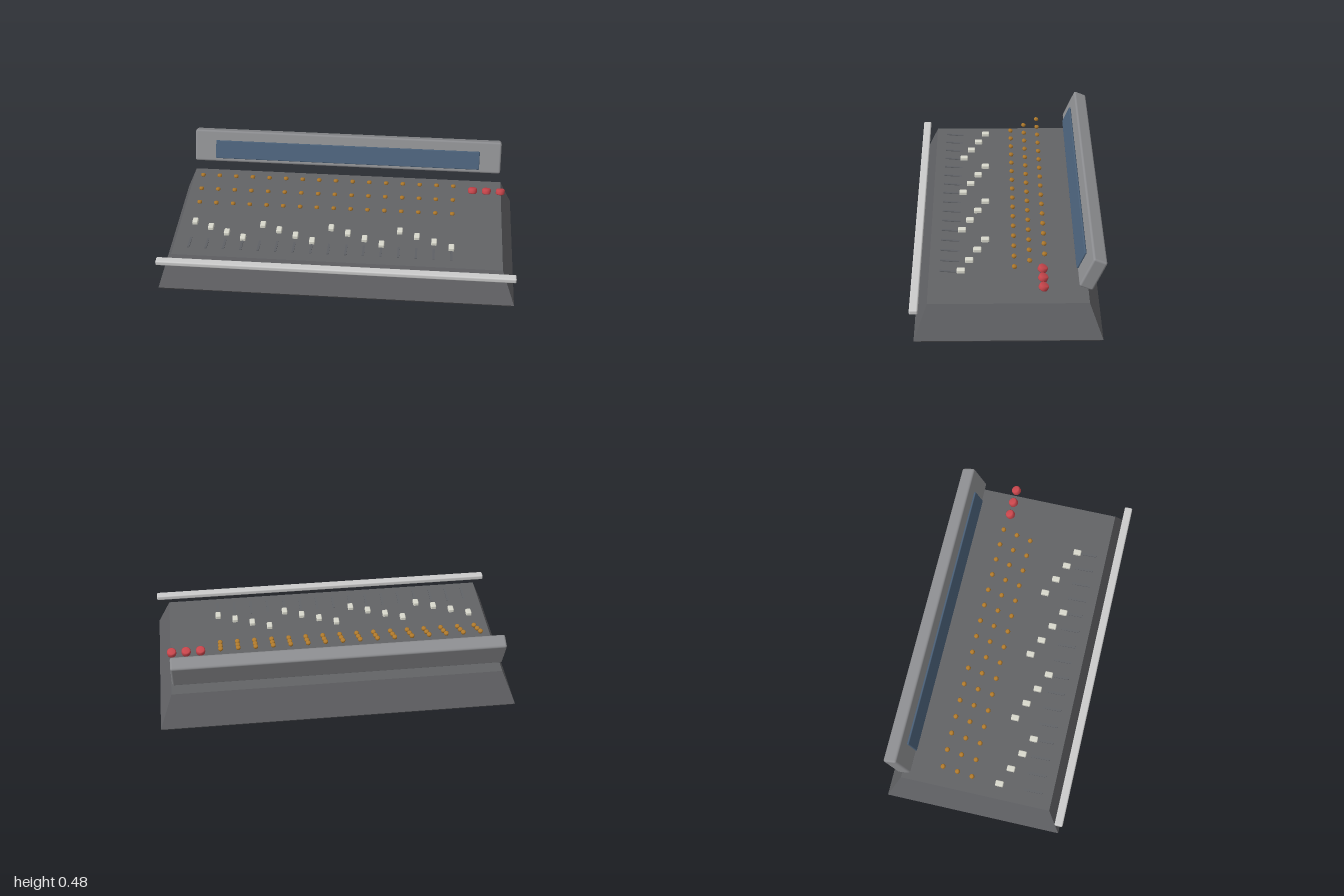
import * as THREE from 'three';
import { RoundedBoxGeometry } from 'three/addons/geometries/RoundedBoxGeometry.js';

const TILT = -0.4;

const paint = (color, flatShading = false) => new THREE.MeshStandardMaterial({ color, flatShading });

export function createModel() {
  const model = new THREE.Group();
  const mats = {
    body: paint(0x626366, true),
    panel: paint(0x8c8d90),
    screen: paint(0x4a6078),
    rail: paint(0xc4c5c8),
    slot: paint(0x606266),
    cap: paint(0xd8d8cc),
    gold: paint(0xb07a2c),
    red: paint(0xc8464c),
  };

  function add(name, geometry, material, x, y, z, tilt = 0, parent = model) {
    const mesh = new THREE.Mesh(geometry, material);
    mesh.name = name;
    mesh.position.set(x, y, z);
    mesh.rotation.x = tilt;
    parent.add(mesh);
    return mesh;
  }

  function addGroup(name) {
    const group = new THREE.Group();
    group.name = name;
    model.add(group);
    return group;
  }

  // Short turned knob with chamfered rims, centred on its own axis
  function knobGeometry(r, h, c) {
    const points = [
      [0, -h / 2], [r - c, -h / 2], [r, -h / 2 + c],
      [r, h / 2 - c], [r - c, h / 2], [0, h / 2],
    ].map(([x, y]) => new THREE.Vector2(x, y));
    return new THREE.LatheGeometry(points, 16);
  }

  // Console body: a box whose three levels are inset to slope the sides
  const levels = [[0, 0.02], [0.022, 0], [0.21, 0.073]]; // height, inset
  const bodyGeometry = new THREE.BoxGeometry(2, 2, 1, 1, 2, 1);
  const p = bodyGeometry.attributes.position;
  for (let i = 0; i < p.count; i++) {
    const [y, inset] = levels[Math.round(p.getY(i)) + 1];
    p.setXYZ(i, Math.sign(p.getX(i)) * (1 - inset), y, Math.sign(p.getZ(i)) * (0.5 - inset));
  }
  bodyGeometry.computeVertexNormals();
  add('consoleBody', bodyGeometry, mats.body, 0, 0, -0.002);

  // Front hand rail
  add('frontRail', new RoundedBoxGeometry(2, 0.029, 0.046, 2, 0.008), mats.rail, 0, 0.209, 0.493);

  // Raised meter housing and its display
  add('meterHousing', new RoundedBoxGeometry(1.835, 0.189, 0.08, 2, 0.012), mats.panel,
    0, 0.3825, -0.4415, TILT);
  add('meterScreen', new RoundedBoxGeometry(1.58, 0.109, 0.012, 2, 0.005), mats.screen,
    0, 0.386, -0.3875, TILT);

  // Sixteen channel strips: three knobs, a slot and a fader cap each
  const knobs = addGroup('channelKnobs');
  const slots = addGroup('faderSlots');
  const caps = addGroup('faderCaps');
  const knob = knobGeometry(0.0135, 0.018, 0.004);
  const slot = new THREE.BoxGeometry(0.012, 0.005, 0.105);
  const cap = new RoundedBoxGeometry(0.032, 0.026, 0.046, 2, 0.006);
  const knobRows = [[0.325, -0.2], [0.283, -0.12], [0.243, -0.038]]; // y, z
  for (let i = 0; i < 16; i++) {
    const x = -0.84 + i * 0.0987;
    knobRows.forEach(([y, z]) => add('channelKnob', knob, mats.gold, x, y, z, TILT, knobs));
    add('faderSlot', slot, mats.slot, x, 0.2135, 0.314, -0.1, slots);
    add('faderCap', cap, mats.cap, x, 0.217, 0.12 + (i % 4) * 0.0437, 0, caps);
  }

  // Red master knobs on the right-hand end
  const masters = addGroup('masterKnobs');
  const master = knobGeometry(0.026, 0.033, 0.006);
  for (let i = 0; i < 3; i++) {
    add('masterKnob', master, mats.red, 0.753 + i * 0.081, 0.31, -0.186, TILT, masters);
  }

  return model;
}
